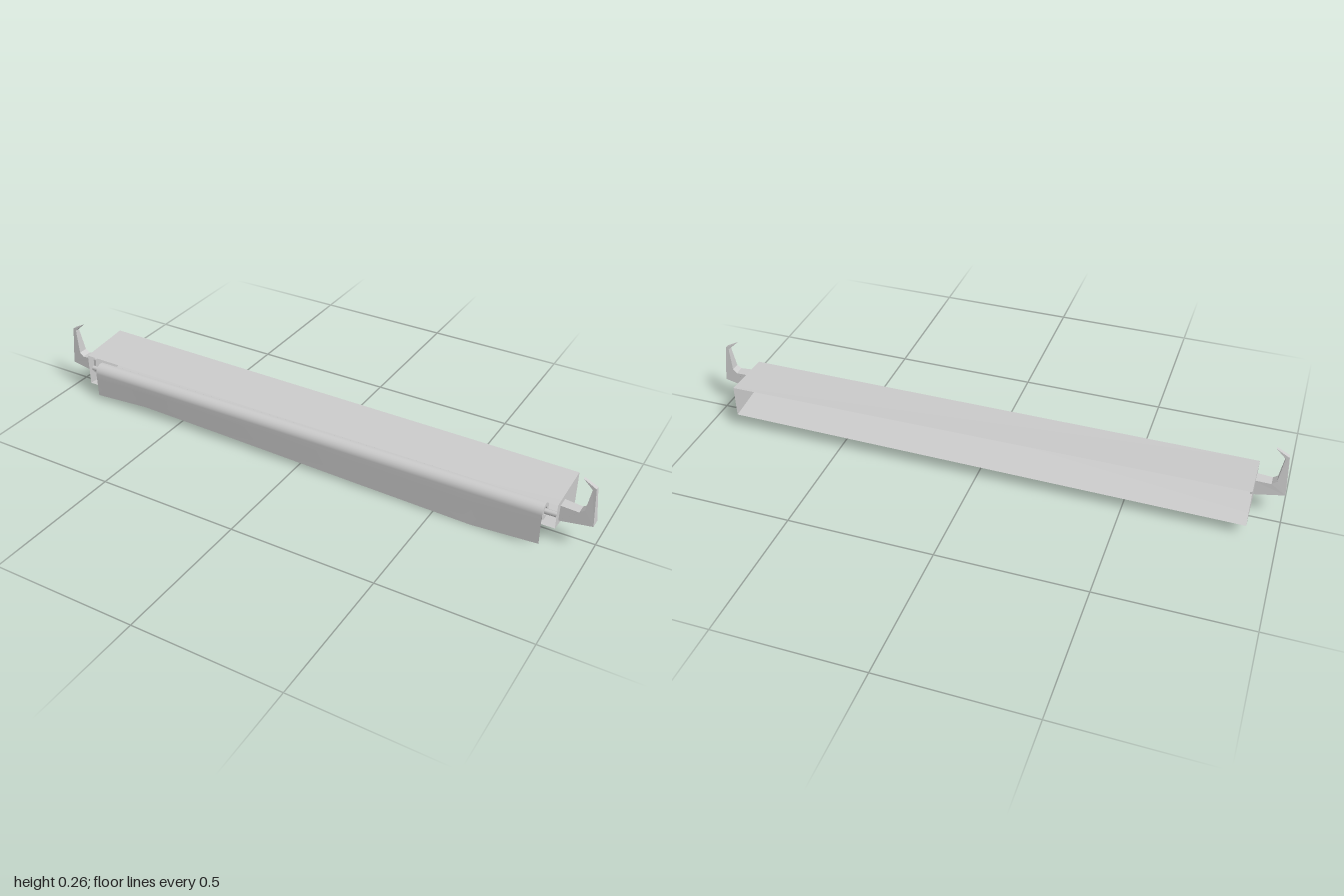
import * as THREE from 'three';

const material = new THREE.MeshStandardMaterial({ color: 0xcccccc, side: THREE.DoubleSide });
const lerp = THREE.MathUtils.lerp;

function addMesh(parent, name, geometry) {
  const mesh = new THREE.Mesh(geometry, material);
  mesh.name = name;
  parent.add(mesh);
  return mesh;
}

// Surface joining rows of points; each row has the same number of points
function sheetGeometry(rows) {
  const n = rows[0].length, index = [];
  for (let i = 0; i < rows.length - 1; i++) {
    for (let j = 0; j < n - 1; j++) {
      const a = i * n + j, b = a + n;
      index.push(a, b, a + 1, b, b + 1, a + 1);
    }
  }
  const g = new THREE.BufferGeometry();
  g.setAttribute('position', new THREE.Float32BufferAttribute(rows.flat(2), 3));
  g.setIndex(index);
  g.computeVertexNormals();
  return g;
}

// The roll climbs slightly from -x to +x
const rollY = (x) => 0.117 + 0.007 * x;
const ROLL_Z = 0.073, ROLL_R = 0.028;

// Thin tapered case, open at the front and back
function housing() {
  const group = new THREE.Group();
  group.name = 'housing';
  const zf = 0.085, zb = -0.102;
  const section = (x, topF, topB, botB, botF) => ({
    tf: [x, topF, zf], tb: [x, topB, zb], bb: [x, botB, zb], bf: [x, botF, zf],
  });
  const l = section(-0.9, 0.165, 0.183, 0.045, 0.05);
  const r = section(0.892, 0.165, 0.172, 0.058, 0.08);
  addMesh(group, 'topPanel', sheetGeometry([[l.tb, r.tb], [l.tf, r.tf]]));
  addMesh(group, 'bottomPanel', sheetGeometry([[l.bf, r.bf], [l.bb, r.bb]]));
  addMesh(group, 'endPanelNegative', sheetGeometry([[l.tb, l.tf], [l.bb, l.bf]]));
  addMesh(group, 'endPanelPositive', sheetGeometry([[r.tf, r.tb], [r.bf, r.bb]]));
  return group;
}

// Hollow roll on a thin spindle
function roll() {
  const group = new THREE.Group();
  group.name = 'roll';
  const half = 0.853, inner = 0.014;
  const profile = [[inner, -half], [ROLL_R, -half], [ROLL_R, -half], [ROLL_R, half],
    [ROLL_R, half], [inner, half], [inner, half], [inner, -half]];
  addMesh(group, 'rolledSheet', new THREE.LatheGeometry(profile.map((p) => new THREE.Vector2(...p)), 20));
  addMesh(group, 'spindle', new THREE.CylinderGeometry(0.009, 0.009, 1.78, 8));
  group.rotation.z = -Math.PI / 2 + 0.007;
  group.position.set(0, rollY(0), ROLL_Z);
  return group;
}

// Hanging sheet: wraps over the roll, then drops to an uneven hem
function hangingSheet() {
  const hem = [[-0.853, 0.02], [-0.64, 0.033], [-0.3, 0.026], [0.2, 0.014], [0.63, 0.003], [0.853, 0.016]];
  const r = ROLL_R + 0.0015, rows = [];
  for (let i = 0; i <= 8; i++) {
    const a = Math.PI * 0.6 * (1 - i / 8);
    rows.push(hem.map(([x]) => [x, rollY(x) + r * Math.sin(a), ROLL_Z + r * Math.cos(a)]));
  }
  for (let i = 1; i <= 4; i++) {
    const t = i / 4;
    rows.push(hem.map(([x, y], j) => [x, lerp(rollY(x), y, t),
      ROLL_Z + r - t * (0.002 + 0.002 * Math.sin(j * 1.3))]));
  }
  return sheetGeometry(rows);
}

// Arm, post and inward-bent tip, narrowing away from the case
function hook(side) {
  const lift = side > 0 ? 0.01 : 0;
  const outline = [[0.89, 0.083], [0.998, 0.098], [0.988, 0.237], [0.945, 0.26],
    [0.977, 0.231], [0.965, 0.145], [0.95, 0.133], [0.89, 0.137]];
  const shape = new THREE.Shape(outline.map(([x, y]) =>
    new THREE.Vector2(side * x, y + (y < 0.2 ? lift : 0))));
  const g = new THREE.ExtrudeGeometry(shape, { depth: 1, bevelEnabled: false });
  const p = g.attributes.position;
  for (let i = 0; i < p.count; i++) {
    const out = THREE.MathUtils.clamp((Math.abs(p.getX(i)) - 0.89) / 0.11, 0, 1);
    const up = THREE.MathUtils.clamp((p.getY(i) - 0.11) / 0.15, 0, 1);
    const back = lerp(lerp(0.011, 0.021, out), 0.037, up);
    const front = lerp(lerp(0.06, 0.056, out), 0.048, up);
    p.setZ(i, lerp(back, front, p.getZ(i)));
  }
  g.computeVertexNormals();
  return g;
}

export function createModel() {
  const model = new THREE.Group();
  model.name = 'rollDispenser';
  model.add(housing(), roll());
  addMesh(model, 'hangingSheet', hangingSheet());
  for (const side of [-1, 1]) addMesh(model, side < 0 ? 'hookNegative' : 'hookPositive', hook(side));
  return model;
}
